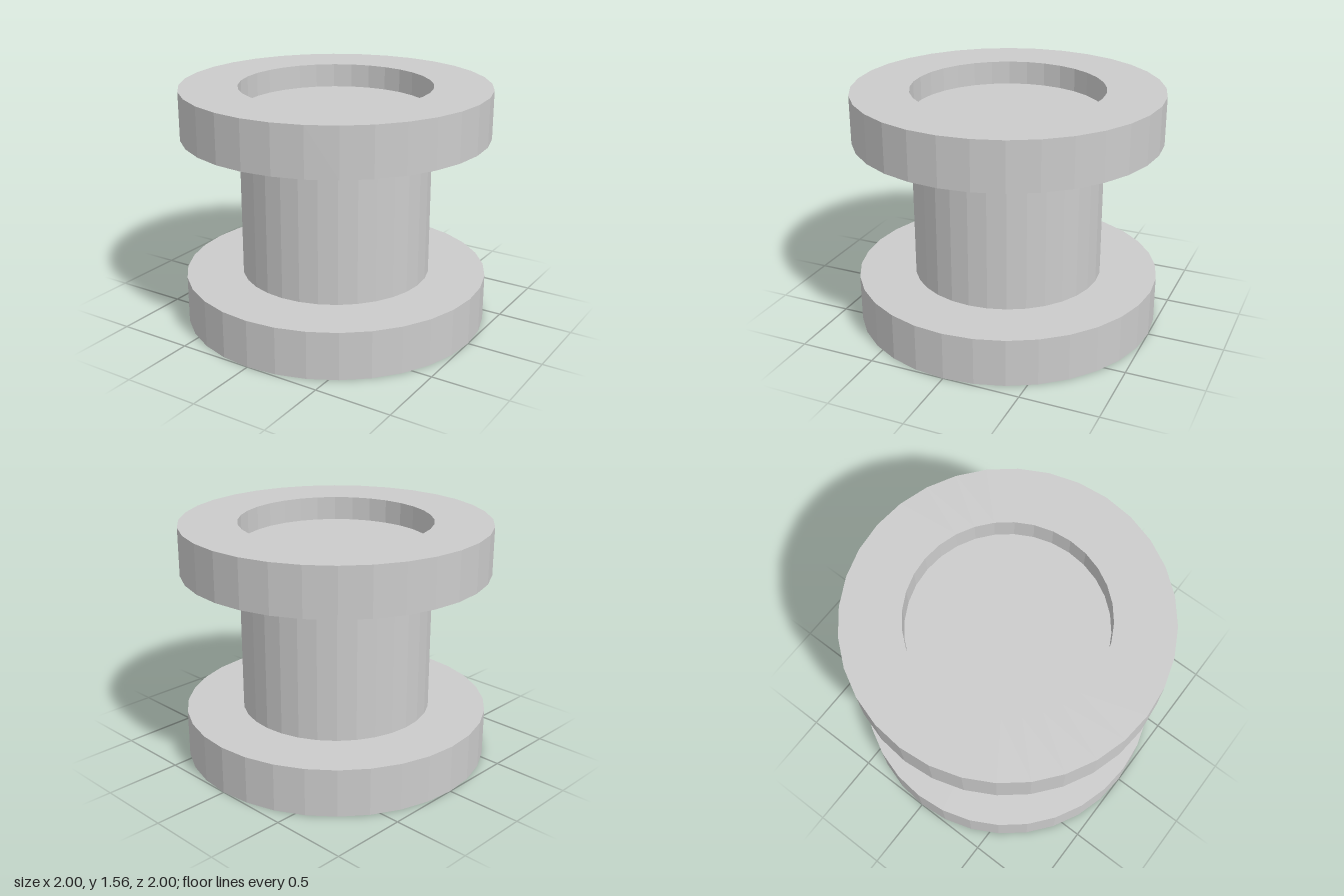
import * as THREE from 'three';

const SIDES = 32;
const HEIGHT = 1.5625;      // overall height
const RIM = 0.3125;         // flange thickness
const RECESS = RIM / 2;     // depth of the round pocket in each end
const CORE = 0.625;         // barrel and pocket radius

export function createModel() {
  const group = new THREE.Group();
  group.name = 'spool';
  const material = new THREE.MeshStandardMaterial({ color: 0xcccccc, flatShading: true });

  // Flange: pocket floor, pocket wall, end face, outer rim, inner face
  const profile = [
    [0, RECESS], [CORE, RECESS], [CORE, 0], [1, 0], [1, RIM], [CORE, RIM],
  ].map(([r, y]) => new THREE.Vector2(r, y));
  const flangeGeometry = new THREE.LatheGeometry(profile, SIDES);

  const bottomFlange = new THREE.Mesh(flangeGeometry, material);
  bottomFlange.name = 'bottomFlange';
  group.add(bottomFlange);

  // Same flange turned upside down at the other end
  const topFlange = new THREE.Mesh(flangeGeometry, material);
  topFlange.name = 'topFlange';
  topFlange.rotation.x = Math.PI;
  topFlange.position.y = HEIGHT;
  group.add(topFlange);

  // Barrel between the flanges
  const barrel = new THREE.Mesh(
    new THREE.CylinderGeometry(CORE, CORE, HEIGHT - 2 * RIM, SIDES, 1, true), material);
  barrel.name = 'barrel';
  barrel.position.y = HEIGHT / 2;
  group.add(barrel);

  return group;
}
